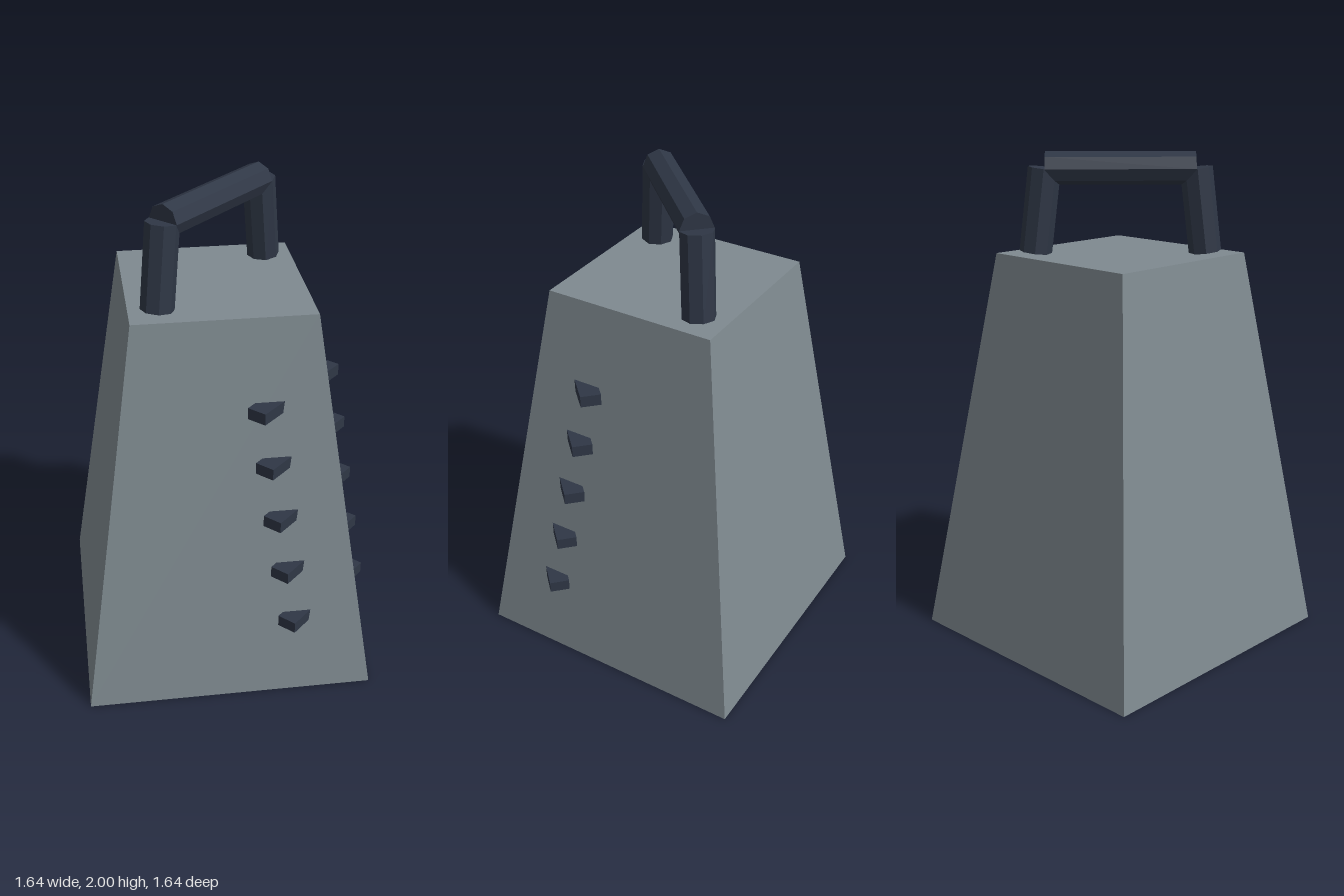
import * as THREE from 'three';

export function createModel() {
  const model = new THREE.Group();
  const steel = new THREE.MeshStandardMaterial({ color: 0x7f8a90, flatShading: true });
  steel.name = 'grey steel';
  const dark = new THREE.MeshStandardMaterial({ color: 0x2f3746, flatShading: true });
  dark.name = 'dark slate';

  const add = (name, geometry, material, x, y, z) => {
    const mesh = new THREE.Mesh(geometry, material);
    mesh.name = name;
    mesh.position.set(x, y, z);
    model.add(mesh);
    return mesh;
  };

  // Tapered four-sided body with an edge facing the front
  add('body', new THREE.CylinderGeometry(0.495, 0.82, 1.6, 4), steel, 0, 0.8, 0);

  // Handle: a straight grip on two inward-leaning posts
  const grip = add('handleGrip', new THREE.CylinderGeometry(0.065, 0.065, 0.59, 8), dark, 0, 1.935, 0);
  grip.rotation.z = Math.PI / 2;
  const postGeometry = new THREE.CylinderGeometry(0.065, 0.065, 0.333, 8);
  const toothGeometry = new THREE.BoxGeometry(0.14, 0.047, 0.08);

  for (const side of [-1, 1]) {
    const name = side > 0 ? 'left' : 'right';
    const post = add(name + 'HandlePost', postGeometry, dark, side * 0.318, 1.77, 0);
    post.rotation.z = side * 0.12;

    // Column of grating teeth following the slope of the front face
    for (let i = 0; i < 5; i++) {
      add(name + 'Tooth' + (i + 1), toothGeometry, dark,
        side * 0.182, 0.34 + i * 0.2265, 0.565 - i * 0.042);
    }
  }
  return model;
}
